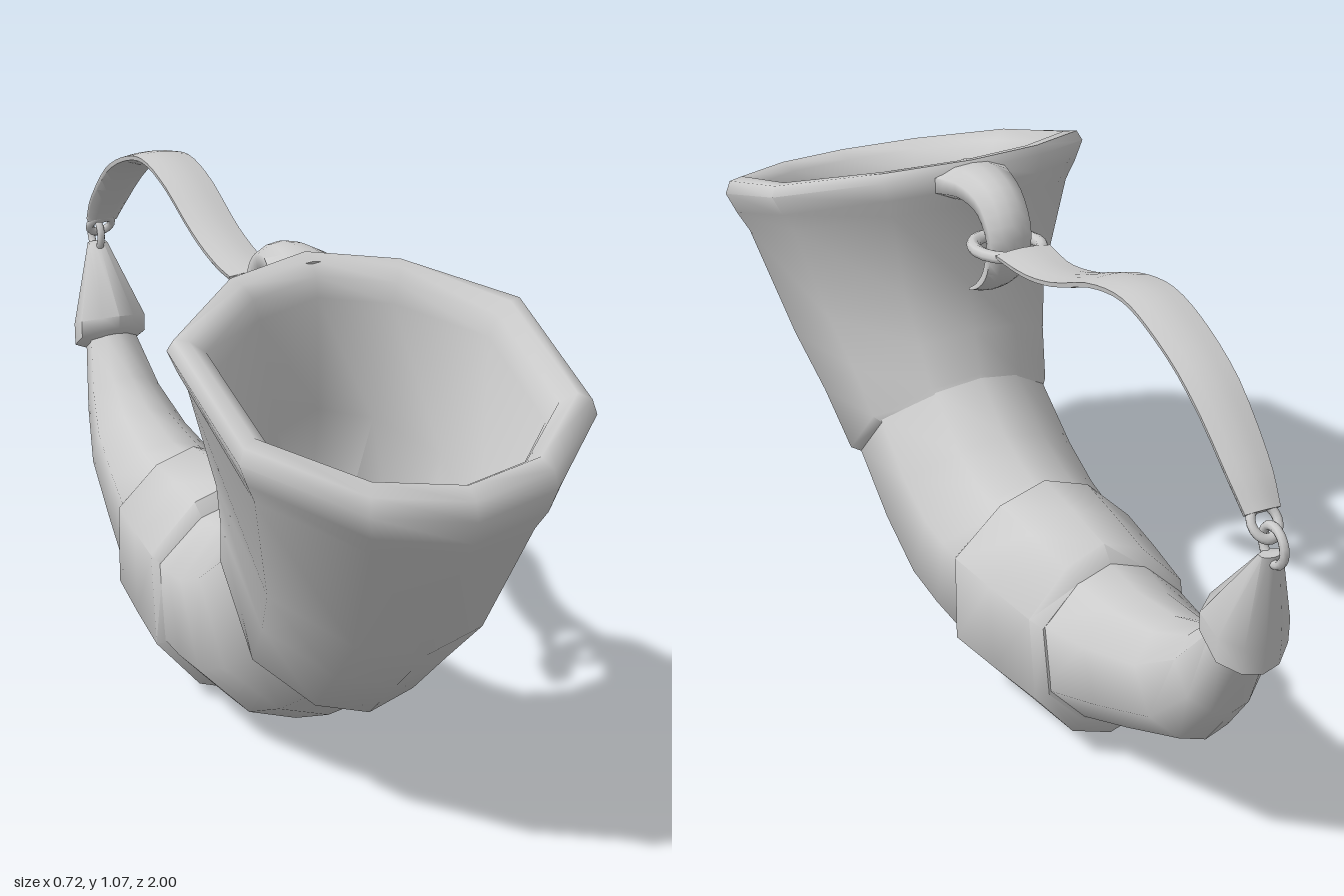
import * as THREE from 'three';
import { toCreasedNormals } from 'three/addons/utils/BufferGeometryUtils.js';

const material = new THREE.MeshStandardMaterial({ color: 0xcccccc, side: THREE.DoubleSide });

// Ten-sided cross-section: sideways and lower-to-upper factors
const SIDE = [0, 0.5, 0.97, 1, 0.5, 0, -0.5, -1, -0.97, -0.5];
const ALONG = [1, 0.87, 0.42, -0.42, -0.85, -1, -0.85, -0.42, 0.42, 0.87];
const N = SIDE.length;

// Each section: [lower z, lower y, upper z, upper y, half width]
function loft(name, sections, crease = 0.9) {
  const pos = [], index = [];
  const centre = ([fz, fy, kz, ky]) => [0, (fy + ky) / 2, (fz + kz) / 2];
  for (const s of sections) {
    const [, my, mz] = centre(s);
    for (let j = 0; j < N; j++) {
      pos.push(s[4] * SIDE[j], my + (s[1] - my) * ALONG[j], mz + (s[0] - mz) * ALONG[j]);
    }
  }
  const last = sections.length - 1;
  for (let i = 0; i < last; i++) {
    for (let j = 0; j < N; j++) {
      const k = (j + 1) % N, a = i * N + j, b = i * N + k;
      index.push(a, a + N, b + N, a, b + N, b);
    }
  }
  // End caps
  const c = (last + 1) * N;
  pos.push(...centre(sections[0]), ...centre(sections[last]));
  for (let j = 0; j < N; j++) {
    const k = (j + 1) % N;
    index.push(c, j, k, c + 1, last * N + k, last * N + j);
  }
  const g = new THREE.BufferGeometry();
  g.setAttribute('position', new THREE.Float32BufferAttribute(pos, 3));
  g.setIndex(index);
  const mesh = new THREE.Mesh(toCreasedNormals(g, crease), material);
  mesh.name = name;
  return mesh;
}

// Sweep along a side-on path; each point: [z, y, half thickness, half width]
function sweep(name, points, steps) {
  const path = new THREE.CatmullRomCurve3(points.map(p => new THREE.Vector3(0, p[1], p[0])));
  const sections = [];
  for (let i = 0; i <= steps; i++) {
    const t = i / steps, p = path.getPoint(t), d = path.getTangent(t);
    const u = t * (points.length - 1), a = Math.min(Math.floor(u), points.length - 2);
    const mix = n => THREE.MathUtils.lerp(points[a][n], points[a + 1][n], u - a);
    const nz = -d.y * mix(2), ny = d.z * mix(2);
    sections.push([p.z + nz, p.y + ny, p.z - nz, p.y - ny, mix(3)]);
  }
  return loft(name, sections, 1.2);
}

function ring(name, radius, tube, y, z) {
  const mesh = new THREE.Mesh(new THREE.TorusGeometry(radius, tube, 8, 20), material);
  mesh.name = name;
  mesh.position.set(0, y, z);
  return mesh;
}

export function createModel() {
  const model = new THREE.Group();
  model.name = 'hangingHorn';

  // Flared mouth: hollow inside, rolled rim, outer sleeve
  model.add(loft('mouthSleeve', [
    [0.56, 0.31, 0.29, 0.54, 0.14],
    [0.77, 0.49, 0.33, 0.76, 0.2],
    [0.91, 0.77, 0.32, 0.98, 0.275],
    [0.93, 0.81, 0.315, 1.02, 0.295],
    [0.96, 0.825, 0.29, 1.045, 0.325],
    [0.99, 0.805, 0.26, 1.055, 0.35],
    [1.0, 0.77, 0.245, 1.04, 0.36],
    [0.985, 0.725, 0.245, 1.0, 0.34],
    [0.955, 0.685, 0.257, 0.96, 0.318],
    [0.82, 0.45, 0.283, 0.77, 0.255],
    [0.7, 0.34, 0.255, 0.67, 0.225],
    [0.58, 0.23, 0.23, 0.58, 0.205],
    [0.54, 0.24, 0.22, 0.56, 0.19],
  ], 1.1));

  // Curved middle of the horn
  model.add(loft('hornMiddle', [
    [0.55, 0.24, 0.23, 0.575, 0.192],
    [0.39, 0.14, 0.11, 0.487, 0.195],
    [0.23, 0.062, 0.03, 0.457, 0.195],
    [0.09, 0.045, -0.02, 0.447, 0.192],
    [-0.04, 0.04, -0.06, 0.442, 0.188],
  ]));

  // Raised band
  model.add(loft('band', [
    [-0.015, 0.04, -0.05, 0.44, 0.185],
    [-0.05, 0.005, -0.075, 0.475, 0.2],
    [-0.21, 0.022, -0.2, 0.47, 0.187],
    [-0.375, 0.04, -0.335, 0.462, 0.17],
    [-0.41, 0.09, -0.365, 0.43, 0.155],
  ]));

  // Narrow end of the horn
  model.add(loft('hornTail', [
    [-0.38, 0.085, -0.34, 0.432, 0.155],
    [-0.57, 0.17, -0.47, 0.428, 0.13],
    [-0.75, 0.255, -0.62, 0.455, 0.105],
    [-0.84, 0.37, -0.73, 0.5, 0.08],
    [-0.91, 0.52, -0.815, 0.58, 0.055],
  ]));

  // Pointed end cap and its ring
  model.add(loft('tipCap', [
    [-0.905, 0.515, -0.825, 0.565, 0.05],
    [-0.94, 0.512, -0.803, 0.595, 0.077],
    [-0.945, 0.57, -0.8, 0.625, 0.077],
    [-0.96, 0.765, -0.93, 0.765, 0.022],
  ]));
  const tipRing = ring('tipRing', 0.036, 0.009, 0.785, -0.953);
  tipRing.rotation.y = Math.PI / 2;
  model.add(tipRing);

  // Hook curling down behind the rim
  model.add(sweep('hook', [
    [0.29, 1.005, 0.04, 0.085],
    [0.2, 1.02, 0.035, 0.06],
    [0.13, 1.005, 0.033, 0.05],
    [0.09, 0.95, 0.028, 0.046],
    [0.115, 0.87, 0.022, 0.042],
    [0.165, 0.82, 0.014, 0.036],
    [0.235, 0.78, 0.005, 0.022],
  ], 20));

  // Carrying strap with a loop at each end
  model.add(sweep('strap', [
    [0.025, 0.944, 0.01, 0.06],
    [-0.08, 0.947, 0.011, 0.052],
    [-0.2, 0.977, 0.011, 0.052],
    [-0.37, 1.045, 0.011, 0.054],
    [-0.49, 1.066, 0.011, 0.054],
    [-0.6, 1.046, 0.011, 0.054],
    [-0.73, 0.99, 0.011, 0.052],
    [-0.86, 0.885, 0.011, 0.045],
    [-0.91, 0.83, 0.011, 0.036],
  ], 28));
  const hookLoop = ring('hookLoop', 0.065, 0.013, 0.93, 0.095);
  hookLoop.rotation.x = Math.PI / 2 + 0.12;
  hookLoop.scale.y = 1.35;
  model.add(hookLoop);
  const tipLoop = ring('tipLoop', 0.026, 0.009, 0.815, -0.92);
  tipLoop.rotation.x = Math.PI / 2 - 0.85;
  tipLoop.scale.y = 1.2;
  model.add(tipLoop);

  return model;
}
